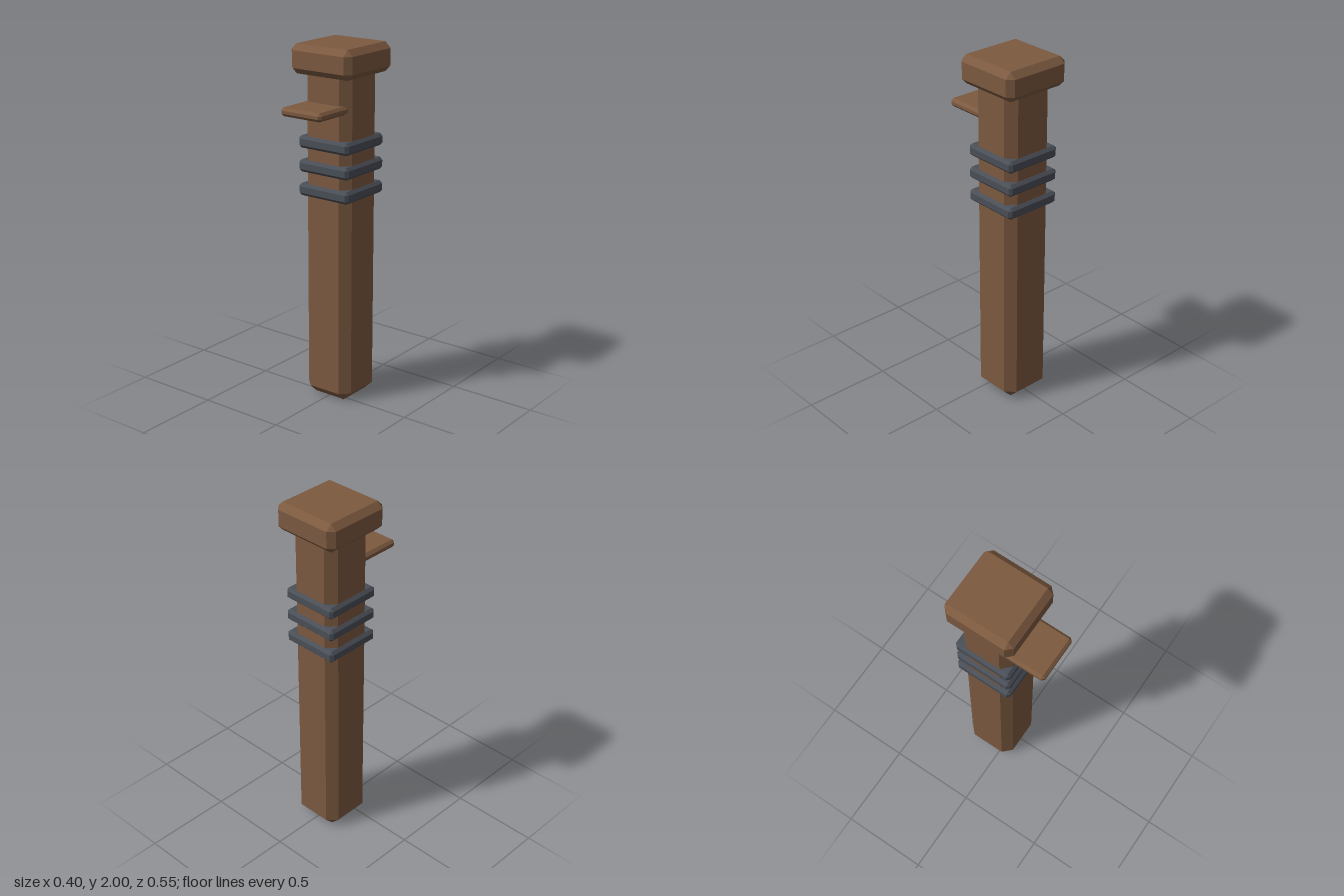
import * as THREE from 'three';
import { ConvexGeometry } from 'three/addons/geometries/ConvexGeometry.js';

// Box with flat chamfers on every edge, given by its limits on each axis
function chamferBox(x, y, z, bevel) {
  const half = [x, y, z].map(([a, b]) => (b - a) / 2);
  const centre = new THREE.Vector3(...[x, y, z].map(([a, b]) => (a + b) / 2));
  const points = [];
  for (const sx of [-1, 1]) for (const sy of [-1, 1]) for (const sz of [-1, 1]) {
    for (let axis = 0; axis < 3; axis++) {
      // each corner becomes three points, one on each adjoining face
      const [hx, hy, hz] = half.map((h, i) => (i === axis ? h : h - bevel));
      points.push(new THREE.Vector3(sx * hx, sy * hy, sz * hz).add(centre));
    }
  }
  return new ConvexGeometry(points);
}

export function createModel() {
  const group = new THREE.Group();
  const wood = new THREE.MeshStandardMaterial({ color: 0x7d5a40 });
  wood.name = 'brown wood';
  const iron = new THREE.MeshStandardMaterial({ color: 0x4a4f57 });
  iron.name = 'dark iron';

  const add = (name, material, x, y, z, bevel) => {
    const mesh = new THREE.Mesh(chamferBox(x, y, z, bevel), material);
    mesh.name = name;
    group.add(mesh);
  };

  // Post, running up inside the cap
  add('post', wood, [-0.15, 0.15], [0, 1.93], [-0.227, 0.073], 0.05);
  // Cap block
  add('cap', wood, [-0.2, 0.2], [1.84, 2], [-0.277, 0.123], 0.033);
  // Small shelf sticking out of the front
  add('shelf', wood, [-0.133, 0.133], [1.647, 1.694], [0, 0.275], 0.015);
  // Three bands around the post
  for (let i = 0; i < 3; i++) {
    const y = 1.204 + i * 0.133;
    add(`band${i + 1}`, iron, [-0.167, 0.167], [y - 0.034, y + 0.034], [-0.244, 0.09], 0.016);
  }
  return group;
}
